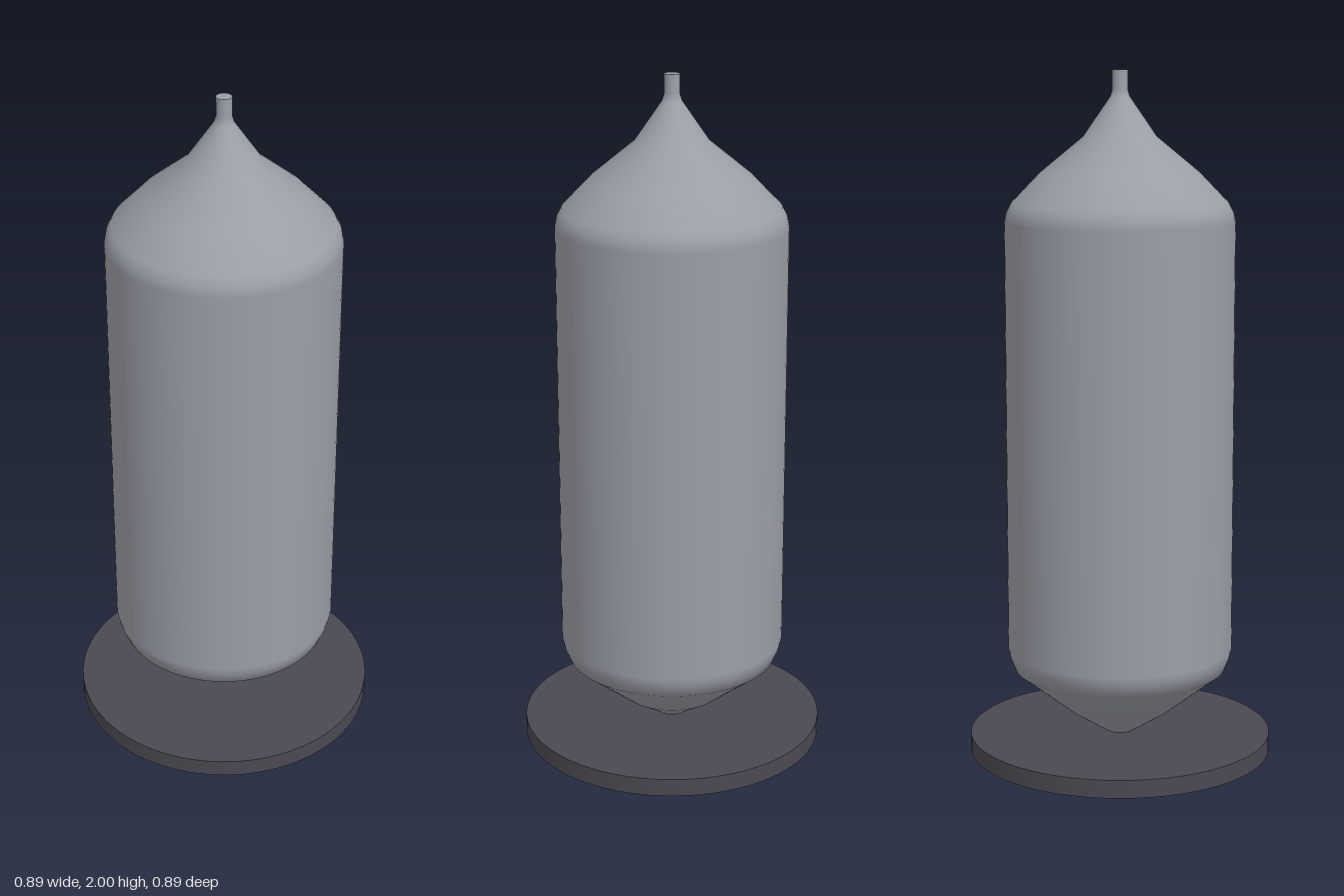
import * as THREE from 'three';

export function createModel() {
  const group = new THREE.Group();
  const bodyGrey = new THREE.MeshStandardMaterial({ color: 0x9a9ea7 });
  const baseGrey = new THREE.MeshStandardMaterial({ color: 0x4a4952 });
  bodyGrey.name = 'bodyGrey';
  baseGrey.name = 'baseGrey';

  const add = (name, geometry, material, y = 0) => {
    const mesh = new THREE.Mesh(geometry, material);
    mesh.name = name;
    mesh.position.y = y;
    group.add(mesh);
    return mesh;
  };

  // Round stand
  add('base', new THREE.CylinderGeometry(0.445, 0.445, 0.053, 96), baseGrey, 0.0265);

  // Body of revolution: pointed foot, straight wall, shoulder, narrow neck
  const profile = [
    [0, 0.03], [0.045, 0.055], [0.15, 0.122], [0.312, 0.25], [0.326, 0.285], [0.332, 0.313],
    [0.332, 1.57], [0.326, 1.598], [0.312, 1.625], [0.228, 1.712], [0.106, 1.812],
    [0.028, 1.925], [0.022, 1.945], [0.022, 2.0],
  ].map(([r, y]) => new THREE.Vector2(r, y));
  add('body', new THREE.LatheGeometry(profile, 96), bodyGrey);

  // Flat end of the neck
  add('neckCap', new THREE.CircleGeometry(0.022, 48), bodyGrey, 2.0).rotation.x = -Math.PI / 2;

  return group;
}
